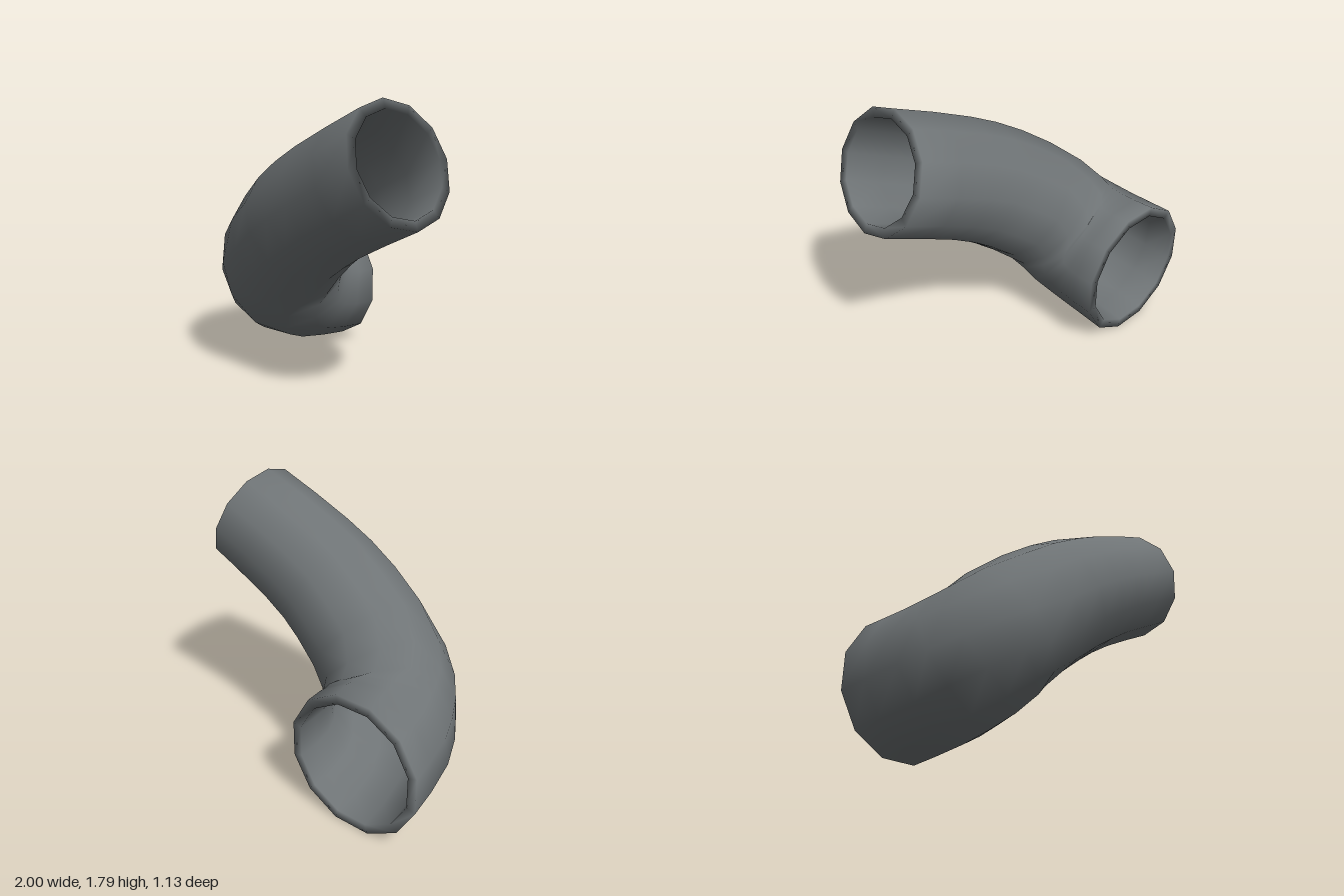
import * as THREE from 'three';

const SIDES = 12;
const RINGS = 12;
const WALL = 0.06;

// Centre line: starts facing the back, bends up and over to the left
const path = new THREE.CatmullRomCurve3([
  [-0.56, 0.44, -0.56],
  [-0.535, 0.475, -0.25],
  [-0.46, 0.57, -0.05],
  [-0.33, 0.735, 0.07],
  [0.02, 1.015, 0.16],
  [0.365, 1.22, 0.187],
  [0.857, 1.45, 0.19],
].map((p) => new THREE.Vector3(...p)));

// Direction of the pipe at t, with square-cut ends
function direction(t) {
  if (t === 0) return new THREE.Vector3(0, 0, 1);
  if (t === 1) return new THREE.Vector3(0.925, 0.38, 0).normalize();
  return path.getTangent(t);
}

// One polygonal cross-section; the pipe narrows and twists slightly along its length
function addRing(positions, t, inset) {
  const centre = path.getPoint(t);
  const dir = direction(t);
  const up = new THREE.Vector3(0, 1, 0).addScaledVector(dir, -dir.y).normalize();
  const side = new THREE.Vector3().crossVectors(dir, up);
  const radius = THREE.MathUtils.lerp(0.455, 0.367, t) - inset;
  const twist = (1 - t) * Math.PI / SIDES;
  for (let j = 0; j < SIDES; j++) {
    const a = twist + (j / SIDES) * Math.PI * 2;
    const v = centre.clone()
      .addScaledVector(up, Math.cos(a) * radius)
      .addScaledVector(side, Math.sin(a) * radius);
    positions.push(v.x, v.y, v.z);
  }
}

// Outer skin forward, inner skin back, joined by a rim at each end
function pipeGeometry() {
  const positions = [];
  const indices = [];
  for (let i = 0; i <= RINGS; i++) addRing(positions, i / RINGS, 0);
  for (let i = RINGS; i >= 0; i--) addRing(positions, i / RINGS, WALL);
  const loops = 2 * (RINGS + 1);
  for (let i = 0; i < loops; i++) {
    const n = (i + 1) % loops;
    for (let j = 0; j < SIDES; j++) {
      const k = (j + 1) % SIDES;
      const a = i * SIDES + j, b = i * SIDES + k;
      const c = n * SIDES + j, d = n * SIDES + k;
      indices.push(a, b, c, b, d, c);
    }
  }
  const geometry = new THREE.BufferGeometry();
  geometry.setAttribute('position', new THREE.Float32BufferAttribute(positions, 3));
  geometry.setIndex(indices);
  geometry.computeVertexNormals();
  return geometry;
}

export function createModel() {
  const group = new THREE.Group();
  group.name = 'bentPipe';
  const grey = new THREE.MeshStandardMaterial({ color: 0x6f7476 });
  grey.name = 'pipe grey';
  const pipe = new THREE.Mesh(pipeGeometry(), grey);
  pipe.name = 'pipe';
  group.add(pipe);
  return group;
}
